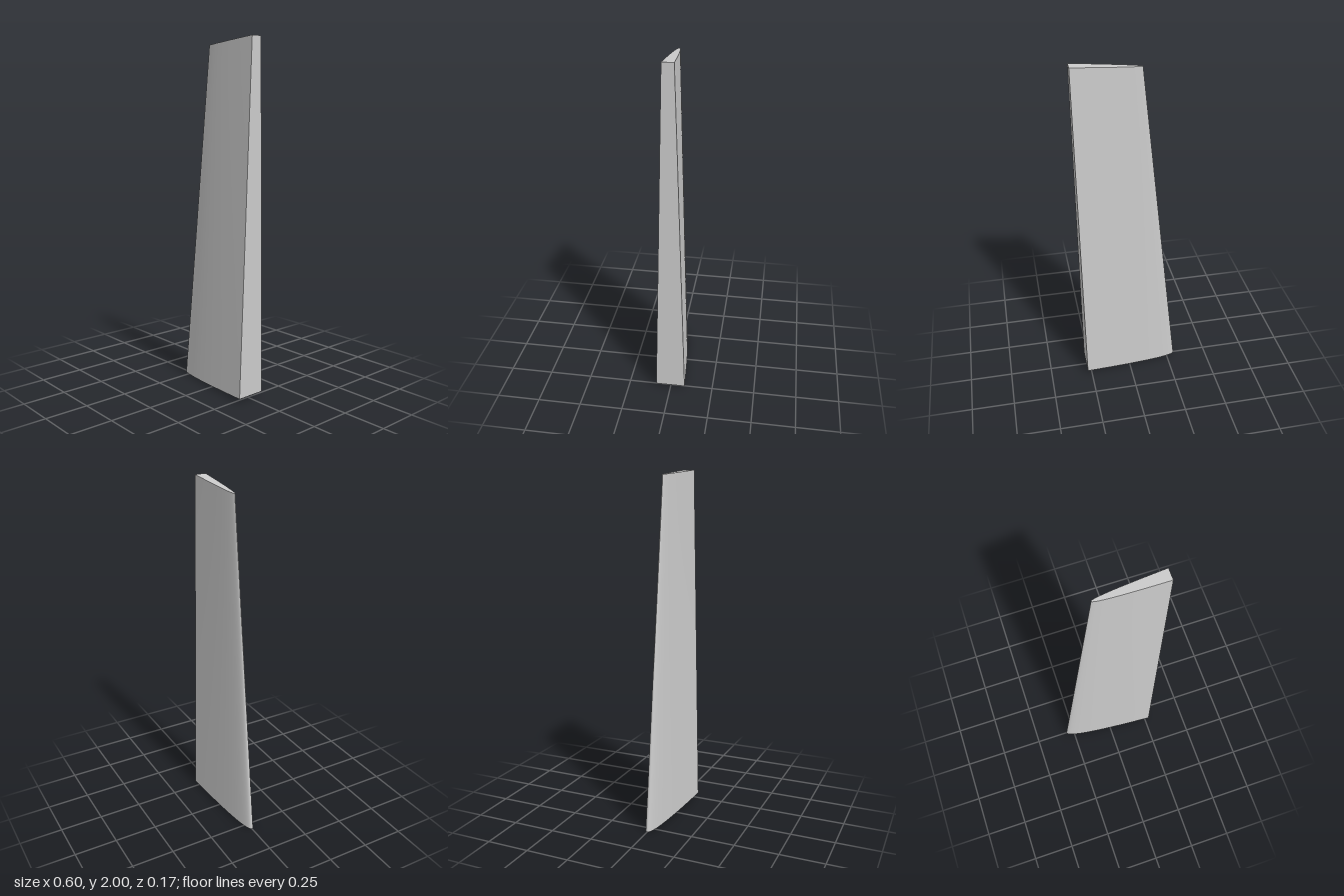
import * as THREE from 'three';

// End sections: nose and tail in x and y, half thickness at the blunt tail
const ROOT = { nose: [-0.3, 0], tail: [0.275, 0.02], half: 0.086 };
const TIP = { nose: [-0.077, 1.97], tail: [0.3, 2], half: 0.032 };
const N = 32; // points per side
const ROWS = 8; // spans between root and tip

// Outline from back tail corner, round the nose, to front tail corner
function outline({ nose, tail, half }) {
  const points = [];
  for (let i = -N; i <= N; i++) {
    const u = i / N;
    const t = u * u;
    points.push(new THREE.Vector3(
      THREE.MathUtils.lerp(nose[0], tail[0], t),
      THREE.MathUtils.lerp(nose[1], tail[1], t),
      Math.sign(u) * half * Math.pow(Math.abs(u), 0.93)
    ));
  }
  return points;
}

function part(name, points, index) {
  const geometry = new THREE.BufferGeometry().setFromPoints(points);
  geometry.setIndex(index);
  geometry.computeVertexNormals();
  const mesh = new THREE.Mesh(geometry, new THREE.MeshStandardMaterial({ color: 0xcccccc }));
  mesh.name = name;
  return mesh;
}

// Skin stretched between a lower and an upper row of points
function loft(name, lower, upper, rows) {
  const points = [];
  const index = [];
  const w = lower.length;
  for (let r = 0; r <= rows; r++) {
    lower.forEach((p, i) => points.push(p.clone().lerp(upper[i], r / rows)));
  }
  for (let r = 0; r < rows; r++) {
    for (let i = 0; i < w - 1; i++) {
      const a = r * w + i;
      index.push(a, a + 1, a + w + 1, a, a + w + 1, a + w);
    }
  }
  return part(name, points, index);
}

// Flat end closing an outline
function cap(name, points, up) {
  const index = [];
  for (let i = 1; i < points.length - 1; i++) {
    index.push(0, up ? i : i + 1, up ? i + 1 : i);
  }
  return part(name, points, index);
}

export function createModel() {
  const group = new THREE.Group();
  group.name = 'taperedFin';
  const root = outline(ROOT);
  const tip = outline(TIP);
  const last = 2 * N;
  group.add(
    loft('curvedSkin', root, tip, ROWS),
    loft('bluntTrailingFace', [root[last], root[0]], [tip[last], tip[0]], 1),
    cap('tipCap', tip, true),
    cap('rootCap', root, false)
  );
  return group;
}
